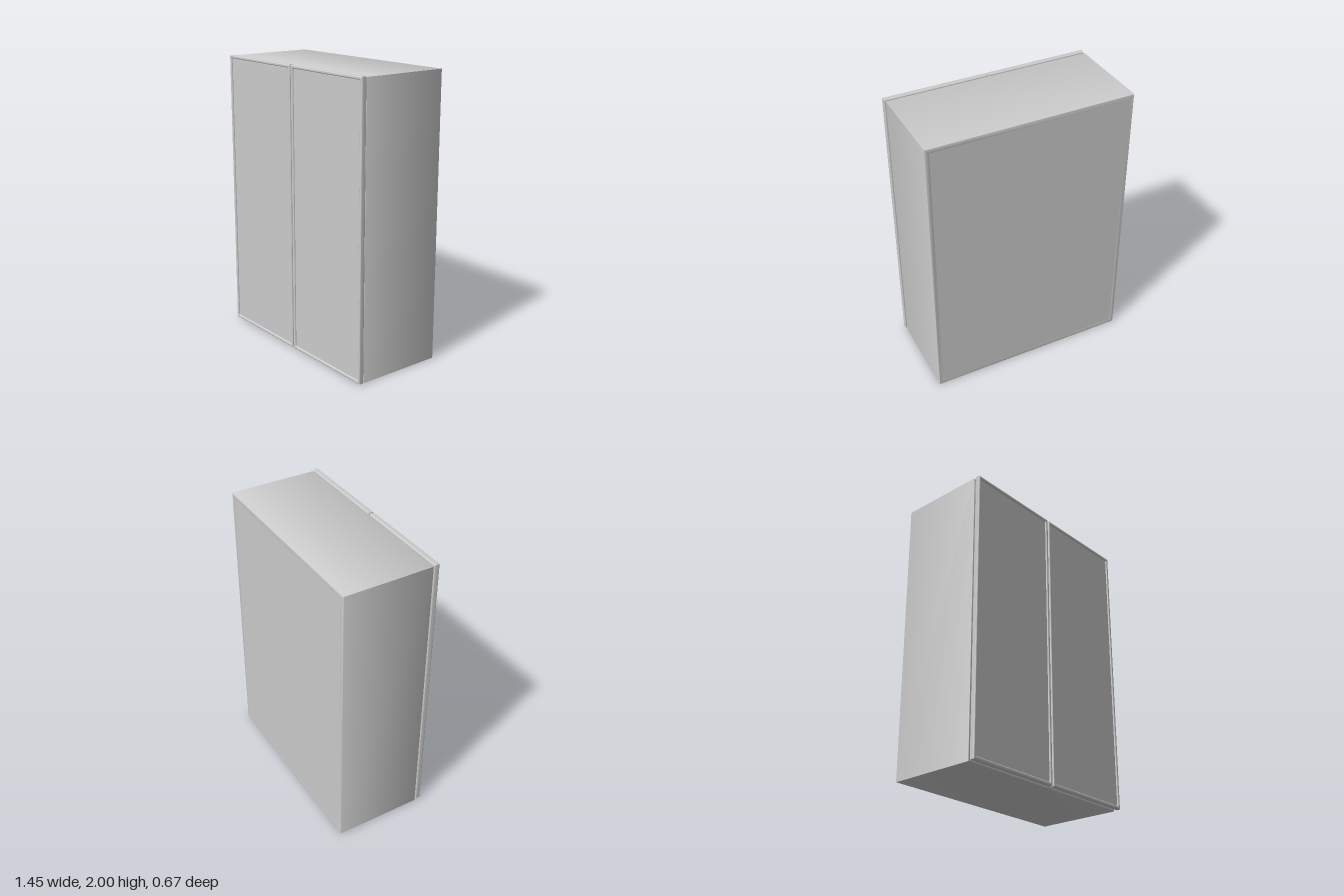
import * as THREE from 'three';
import { RoundedBoxGeometry } from 'three/addons/geometries/RoundedBoxGeometry.js';
import { toCreasedNormals } from 'three/addons/utils/BufferGeometryUtils.js';

const material = new THREE.MeshStandardMaterial({ color: 0xcccccc });

function add(parent, name, geometry, x, y, z) {
  const mesh = new THREE.Mesh(geometry, material);
  mesh.name = name;
  mesh.position.set(x, y, z);
  parent.add(mesh);
  return mesh;
}

function rectangle(PathType, w, h) {
  return new PathType([[-1, -1], [1, -1], [1, 1], [-1, 1]]
    .map(([x, y]) => new THREE.Vector2(x * w / 2, y * h / 2)));
}

// Rectangular ring with softened edges, centred on x and y, from z = 0 to z = depth
function ring(w, h, border, depth, bevel) {
  const shape = rectangle(THREE.Shape, w - 2 * bevel, h - 2 * bevel);
  const inset = 2 * (border - bevel);
  shape.holes.push(rectangle(THREE.Path, w - inset, h - inset));
  const geometry = new THREE.ExtrudeGeometry(shape, {
    depth: depth - 2 * bevel, bevelThickness: bevel, bevelSize: bevel, bevelSegments: 4,
  });
  geometry.translate(0, 0, bevel);
  return toCreasedNormals(geometry, 0.6);
}

// Hollow carcass with back panel and three shelves
function createCarcass() {
  const carcass = new THREE.Group();
  carcass.name = 'carcass';
  const w = 1.445, h = 1.995, wall = 0.035, bevel = 0.005;
  const back = -0.335, depth = 0.627;
  add(carcass, 'shell', ring(w, h, wall, depth, bevel), 0, h / 2, back);
  const inset = 2 * (wall - bevel);
  add(carcass, 'backPanel', new THREE.BoxGeometry(w - inset, h - inset, 0.03), 0, h / 2, back + 0.015);
  for (const y of [0.54, 1.025, 1.51]) {
    add(carcass, 'shelf', new THREE.BoxGeometry(w - 2 * wall, 0.04, 0.575), 0, y, -0.018);
  }
  carcass.position.x = -0.005;
  return carcass;
}

// Door: rounded frame around a slightly recessed panel
function createDoor(name, x) {
  const door = new THREE.Group();
  door.name = name;
  const w = 0.721, h = 1.993, border = 0.021;
  add(door, 'frame', ring(w, h, border, 0.038, 0.007), 0, 0, 0);
  add(door, 'panel', new RoundedBoxGeometry(w - border, h - border, 0.027, 2, 0.002), 0, 0, 0.0145);
  door.position.set(x, 1.0035, 0.298);
  return door;
}

export function createModel() {
  const cabinet = new THREE.Group();
  cabinet.name = 'cabinet';
  cabinet.add(createCarcass(), createDoor('leftDoor', 0.366), createDoor('rightDoor', -0.365));
  return cabinet;
}
